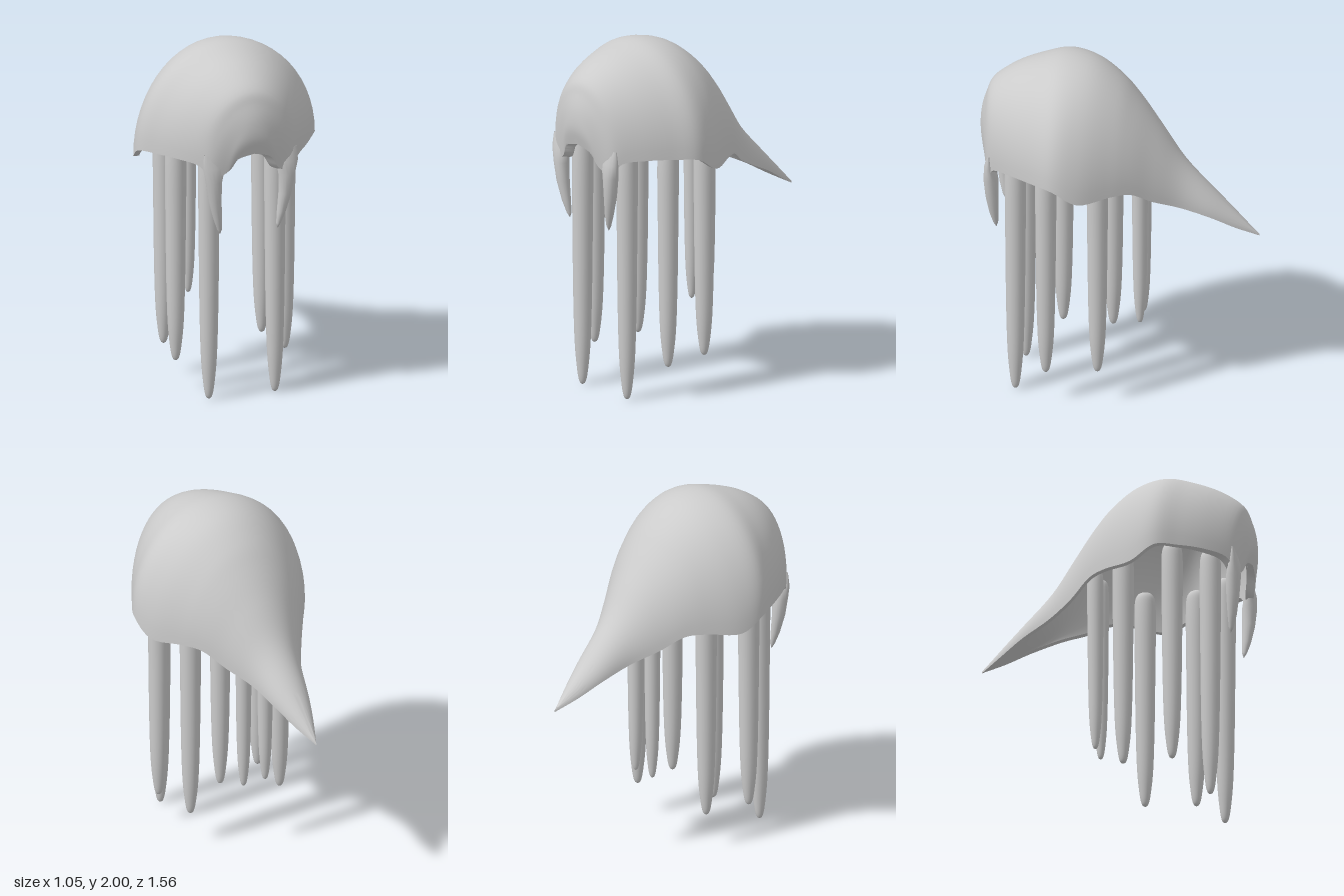
import * as THREE from 'three';
import { mergeVertices, toCreasedNormals } from 'three/addons/utils/BufferGeometryUtils.js';

const material = new THREE.MeshStandardMaterial({ color: 0xcccccc, side: THREE.DoubleSide });

// Skin a list of closed rings (arrays of Vector3, equal length)
function loft(rings, crease) {
  const n = rings[0].length, pos = [], idx = [];
  rings.forEach(r => r.forEach(p => pos.push(p.x, p.y, p.z)));
  for (let i = 0; i < rings.length - 1; i++) {
    for (let j = 0; j < n; j++) {
      const a = i * n + j, b = i * n + (j + 1) % n, c = a + n, d = b + n;
      idx.push(a, b, c, b, d, c);
    }
  }
  let g = new THREE.BufferGeometry();
  g.setAttribute('position', new THREE.Float32BufferAttribute(pos, 3));
  g.setIndex(idx);
  g = mergeVertices(g);
  if (crease) return toCreasedNormals(g, crease);
  g.computeVertexNormals();
  return g;
}

// Bell stations, front to tail: rim x, rim y, rim z, ridge y, ridge z
const STATIONS = [
  [0, 1.47, 0.76, 1.47, 0.76],
  [0.1, 1.44, 0.75, 1.56, 0.78],
  [0.16, 1.36, 0.73, 1.66, 0.775],
  [0.24, 1.34, 0.71, 1.75, 0.75],
  [0.29, 1.40, 0.67, 1.82, 0.72],
  [0.38, 1.42, 0.56, 1.91, 0.60],
  [0.46, 1.42, 0.43, 1.97, 0.45],
  [0.52, 1.41, 0.31, 2.0, 0.31],
  [0.5, 1.33, 0.17, 1.97, 0.15],
  [0.4, 1.34, 0, 1.87, 0],
  [0.33, 1.33, -0.1, 1.76, -0.1],
  [0.245, 1.25, -0.22, 1.60, -0.22],
  [0.16, 1.18, -0.36, 1.40, -0.36],
  [0.105, 1.10, -0.53, 1.22, -0.53],
  [0.06, 1.03, -0.65, 1.10, -0.65],
  [0, 0.96, -0.78, 0.97, -0.78],
];

// Hollow hood: each ring is an outer arch and an inner arch joined at the rim
function bellGeometry() {
  const rim = new THREE.CatmullRomCurve3(STATIONS.map(s => new THREE.Vector3(s[0], s[1], s[2])));
  const ridge = new THREE.CatmullRomCurve3(STATIONS.map(s => new THREE.Vector3(0, s[3], s[4])));
  const steps = 75, half = 28, rings = [];
  const arch = (rx, ry, rz, ty, tz, k) => {
    const t = (k / half - 0.5) * Math.PI, c = Math.cos(t);
    return new THREE.Vector3(rx * Math.sin(t), ry + (ty - ry) * c, rz + (tz - rz) * c);
  };
  for (let i = 0; i <= steps; i++) {
    const r = rim.getPoint(i / steps), t = ridge.getPoint(i / steps), ring = [];
    const x = Math.max(r.x, 0);
    for (let k = 0; k <= half; k++) ring.push(arch(x, r.y, r.z, t.y, t.z, k));
    // cavity gets shallower along the tail and closes before its tip
    const depth = THREE.MathUtils.smoothstep(r.z, -0.6, -0.05);
    const inset = z => z - 0.04 * THREE.MathUtils.smoothstep(z, 0.3, 0.7);
    const top = r.y + Math.max(t.y - r.y - 0.04, 0) * depth;
    for (let k = half; k >= 0; k--) {
      ring.push(arch(Math.max(x - 0.035, x * 0.6), r.y, inset(r.z), top, inset(t.z), k));
    }
    rings.push(ring);
  }
  return loft(rings, 0.9);
}

// Pointed lappet on the front rim; rows: y, centre x, centre z, radius x, radius z
function fangGeometry(side) {
  const rows = [
    [1.47, 0.215, 0.7, 0.06, 0.01],
    [1.39, 0.215, 0.7, 0.065, 0.032],
    [1.31, 0.215, 0.695, 0.047, 0.042],
    [1.2, 0.207, 0.69, 0.037, 0.037],
    [1.09, 0.188, 0.682, 0.025, 0.026],
    [1.02, 0.174, 0.674, 0.013, 0.014],
    [0.99, 0.17, 0.671, 0, 0],
  ];
  return loft(rows.map(([y, cx, cz, rx, rz]) => Array.from({ length: 16 }, (_, j) => {
    const a = j / 16 * Math.PI * 2;
    return new THREE.Vector3(side * cx + rx * Math.cos(a), y, cz + rz * Math.sin(a));
  })));
}

// Tapering strand with rounded ends
function tentacleGeometry(bottom, top, r) {
  const h = top - bottom;
  const profile = new THREE.SplineCurve([
    [0, 0], [0.3, 0.012], [0.52, 0.06], [0.75, 0.17], [0.88, 0.36],
    [0.96, 0.65], [1, 0.9], [0.8, 0.98], [0, 1],
  ].map(([x, y]) => new THREE.Vector2(x * r, bottom + y * h)));
  const points = profile.getPoints(40).map(p => new THREE.Vector2(Math.max(p.x, 0), p.y));
  return new THREE.LatheGeometry(points, 20);
}

export function createModel() {
  const model = new THREE.Group();
  const add = (name, geometry, x = 0, z = 0) => {
    const mesh = new THREE.Mesh(geometry, material);
    mesh.name = name;
    mesh.position.set(x, 0, z);
    model.add(mesh);
  };

  add('bell', bellGeometry());

  // Tentacle pairs: name, x, z, bottom y, radius
  const pairs = [
    ['Front', 0.195, 0.56, 0, 0.06],
    ['MiddleFront', 0.322, 0.37, 0.18, 0.06],
    ['MiddleBack', 0.29, 0.085, 0.19, 0.06],
    ['Back', 0.07, -0.12, 0.4, 0.046],
  ];
  for (const [label, side] of [['left', 1], ['right', -1]]) {
    add(label + 'Fang', fangGeometry(side));
    for (const [name, x, z, bottom, r] of pairs) {
      add(label + name + 'Tentacle', tentacleGeometry(bottom, 1.5, r), side * x, z);
    }
  }
  return model;
}
